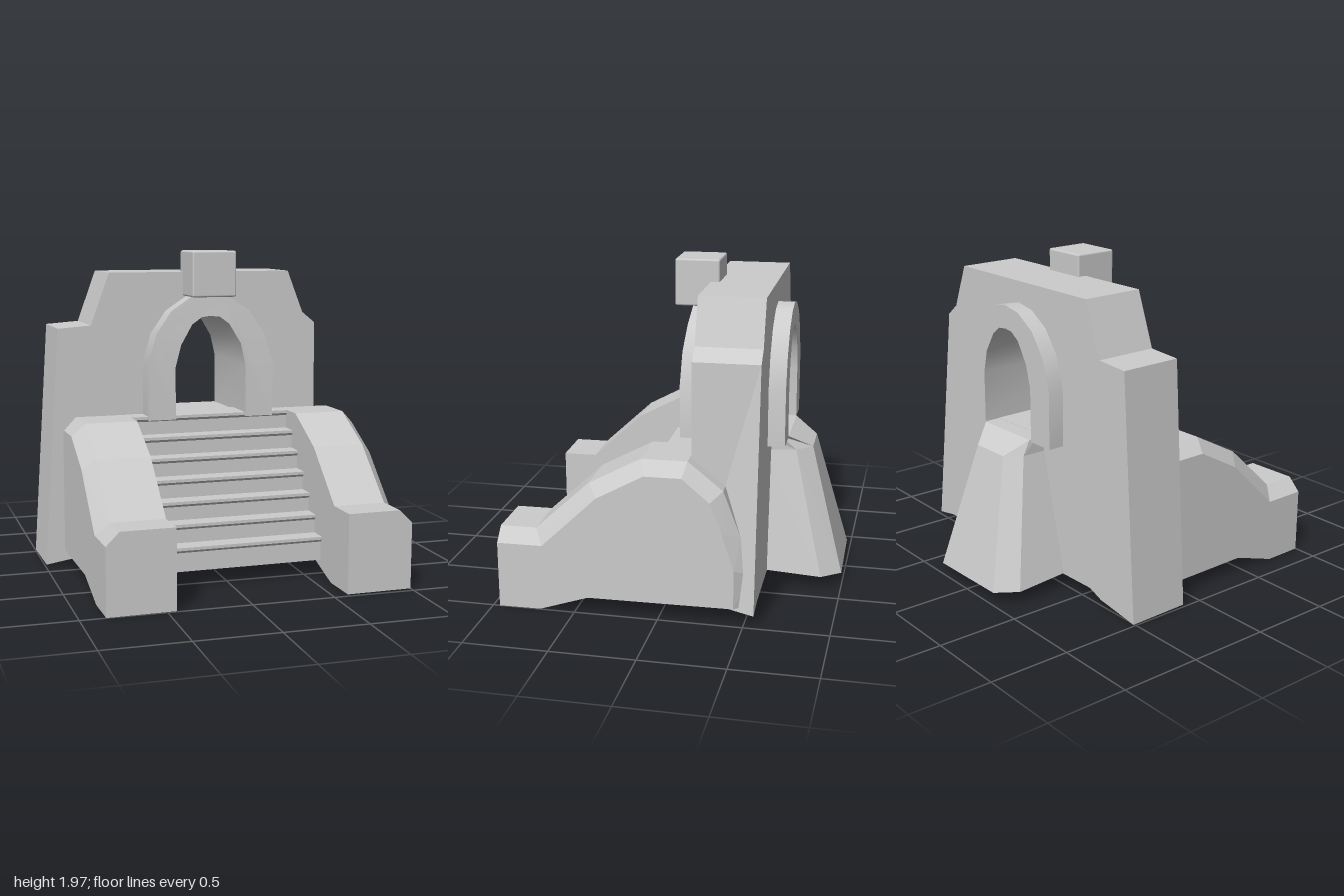
import * as THREE from 'three';
import { toCreasedNormals } from 'three/addons/utils/BufferGeometryUtils.js';
import { RoundedBoxGeometry } from 'three/addons/geometries/RoundedBoxGeometry.js';

const flat = new THREE.MeshStandardMaterial({ color: 0xcccccc, flatShading: true });
const smooth = new THREE.MeshStandardMaterial({ color: 0xcccccc });

const toShape = (pts) => new THREE.Shape(pts.map(([x, y]) => new THREE.Vector2(x, y)));

function add(group, name, geometry, material = flat) {
  const mesh = new THREE.Mesh(geometry, material);
  mesh.name = name;
  group.add(mesh);
  return mesh;
}

// Apply a rule to every vertex
function reshape(geometry, rule) {
  const p = geometry.attributes.position;
  const v = new THREE.Vector3();
  for (let i = 0; i < p.count; i++) {
    rule(v.fromBufferAttribute(p, i));
    p.setXYZ(i, v.x, v.y, v.z);
  }
  geometry.computeVertexNormals();
  return geometry;
}

// Closed faceted solid through 2D rings; place(ringIndex, a, b) gives the 3D point
function loft(rings, place) {
  let loops = rings.map((r) => r.map(([a, b]) => new THREE.Vector2(a, b)));
  if (THREE.ShapeUtils.area(loops[0]) < 0) loops = loops.map((l) => l.slice().reverse());
  const pts = loops.map((l, i) => l.map((p) => new THREE.Vector3(...place(i, p.x, p.y))));
  const last = pts.length - 1;
  const n = pts[0].length;
  const tris = [];
  for (let i = 0; i < last; i++) {
    for (let j = 0; j < n; j++) {
      const k = (j + 1) % n;
      tris.push([pts[i][j], pts[i][k], pts[i + 1][k]], [pts[i][j], pts[i + 1][k], pts[i + 1][j]]);
    }
  }
  for (const [a, b, c] of THREE.ShapeUtils.triangulateShape(loops[0], [])) tris.push([pts[0][a], pts[0][c], pts[0][b]]);
  for (const [a, b, c] of THREE.ShapeUtils.triangulateShape(loops[last], [])) tris.push([pts[last][a], pts[last][b], pts[last][c]]);
  // Turn the faces outward
  const volume = tris.reduce((s, [a, b, c]) => s + a.dot(b.clone().cross(c)), 0);
  if (volume < 0) tris.forEach((t) => t.reverse());
  const g = new THREE.BufferGeometry().setFromPoints(tris.flat());
  g.computeVertexNormals();
  return g;
}

export function createModel() {
  const model = new THREE.Group();
  model.name = 'gatewayWithStairs';
  const body = new THREE.Group();
  body.name = 'gateway';
  body.rotation.y = 0.021;
  model.add(body);

  // Arch outlines
  const outer = [[-0.355, 0.92], [-0.355, 1.27], [-0.3, 1.46], [-0.2, 1.6], [-0.07, 1.685], [0.055, 1.71],
    [0.18, 1.685], [0.31, 1.6], [0.41, 1.46], [0.47, 1.27], [0.47, 0.92]];
  const inner = [[-0.177, 0.92], [-0.177, 1.25], [-0.14, 1.39], [-0.065, 1.515], [0, 1.56], [0.055, 1.567],
    [0.12, 1.56], [0.18, 1.515], [0.255, 1.39], [0.287, 1.25], [0.287, 0.92]];

  // Wall with stepped shoulders and a doorway
  const wall = toShape([[-0.99, 0.01], [-0.7, 0.055], [-0.6, 0.095], [0.85, 0.095], [1, 0.07], [0.812, 1.5],
    [0.727, 1.57], [0.622, 1.84], [-0.567, 1.84], [-0.685, 1.515], [-0.893, 1.5]]);
  const doorway = outer.map(([x, y], i) => [(x + inner[i][0]) / 2, Math.max(0.932, (y + inner[i][1]) / 2)]);
  wall.holes.push(new THREE.Path(doorway.map(([x, y]) => new THREE.Vector2(x, y))));
  const wallGeo = new THREE.ExtrudeGeometry(wall, { depth: 0.392, bevelEnabled: false });
  wallGeo.translate(0, 0, -0.54);
  // The left flank tapers toward the front
  add(body, 'wall', reshape(wallGeo, (v) => {
    if (v.z > -0.3 && v.x > 0.8 && v.y < 1.4) v.x = 0.82;
  }));

  // Arch surround running through the wall, leaning back near its crown
  const archGeo = new THREE.ExtrudeGeometry(toShape([...outer, ...inner.slice().reverse()]), { depth: 0.63, bevelEnabled: false });
  archGeo.translate(0, 0, -0.642);
  reshape(archGeo, (v) => {
    if (v.z > -0.3 && v.y > 1.4) v.z -= 0.09 * (v.y - 1.4);
  });
  add(body, 'archSurround', toCreasedNormals(archGeo, 0.6), smooth);

  // Keystone block
  add(body, 'keystone', new RoundedBoxGeometry(0.285, 0.285, 0.272, 2, 0.012), smooth).position.set(0.054, 1.832, -0.067);

  // Stairs: treads with nosings, stepped underside
  const count = 7;
  const rise = 0.116;
  const run = 0.1;
  const stair = [[-0.25, 0.945]];
  for (let i = 0; i < count; i++) {
    const z = -0.015 + i * run;
    const y = 0.945 - i * rise;
    stair.push([z, y], [z, y - 0.018], [z - 0.018, y - 0.034]);
    stair.push([z - 0.018, i < count - 1 ? y - rise : 0.1]);
  }
  for (let i = count - 1; i >= 0; i--) {
    const z = -0.15 + i * run;
    const y = Math.max(0.1, 0.945 - (i + 1.6) * rise);
    stair.push([z, y]);
    if (i > 0) stair.push([z, 0.945 - (i + 0.6) * rise]);
  }
  stair.push([-0.25, 0.945 - 1.6 * rise]);
  add(body, 'stairs', loft([stair, stair], (i, z, y) => [i ? 0.585 : -0.475, y, z]));

  // Side ramps: full profile, then a chamfered outer profile, as [z, y]
  const ramp = [[0.98, 0], [0.98, 0.48], [0.765, 0.48], [0.44, 0.78], [0.13, 0.945], [-0.14, 0.945],
    [-0.345, 0.78], [-0.45, 0.5], [-0.51, 0.28], [-0.5, 0.095], [0.44, 0.095], [0.73, 0]];
  const rampOuter = [[0.98, 0], [0.98, 0.4], [0.71, 0.4], [0.38, 0.715], [0.1, 0.867], [-0.12, 0.867],
    [-0.28, 0.73], [-0.35, 0.55], [-0.42, 0.33], [-0.42, 0.095], [0.44, 0.095], [0.73, 0]];
  for (const [name, side, start] of [['leftRamp', 1, 0.575], ['rightRamp', -1, 0.465]]) {
    const offset = [0, 0.325, 0.405];
    add(body, name, loft([ramp, ramp, rampOuter], (i, z, y) => [side * (start + offset[i]), y, z]));
  }

  // Tapered rear buttress below the doorway, as [x, z] rings
  const buttress = [
    [[-0.35, -0.5], [-0.35, -0.87], [-0.245, -0.99], [0.295, -0.99], [0.4, -0.87], [0.4, -0.5]],
    [[-0.17, -0.5], [-0.165, -0.69], [-0.09, -0.785], [0.17, -0.785], [0.26, -0.69], [0.287, -0.5]],
    [[-0.17, -0.5], [-0.17, -0.6], [-0.165, -0.645], [0.28, -0.645], [0.287, -0.6], [0.287, -0.5]],
  ];
  add(body, 'rearButtress', loft(buttress, (i, x, z) => [x, i ? [0, 0.84, 0.93][i] : 0.135 + 0.065 * z, z]));

  return model;
}
